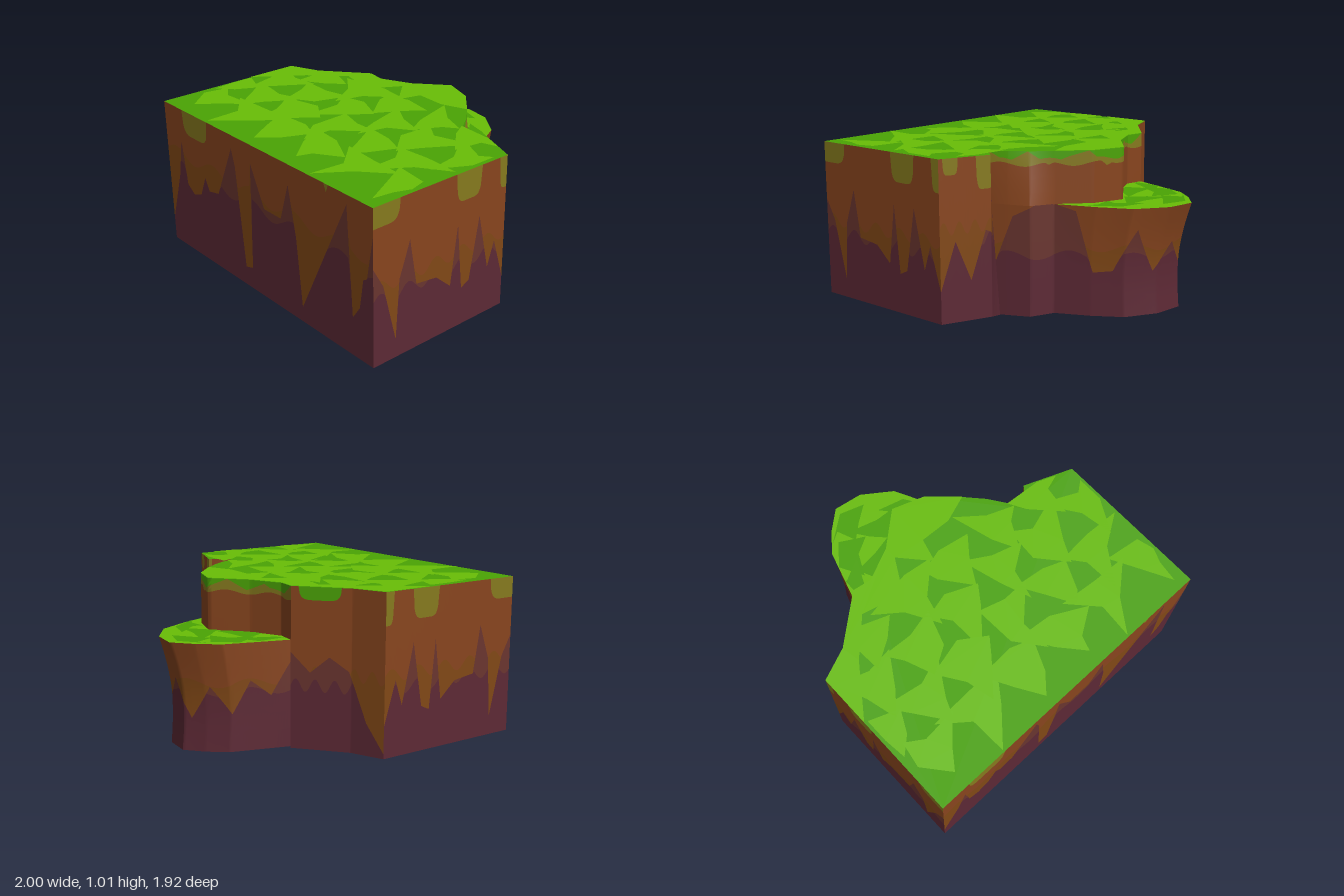
import * as THREE from 'three';
import { toCreasedNormals } from 'three/addons/utils/BufferGeometryUtils.js';

const paint = (name, color) => {
  const m = new THREE.MeshStandardMaterial({ color, side: THREE.DoubleSide });
  m.name = name;
  return m;
};

// Linear lookup in a list of [u, value] with rising u
function lookup(list, u) {
  for (let i = 1; i < list.length; i++) {
    const [u0, a] = list[i - 1], [u1, b] = list[i];
    if (u <= u1) return a + (b - a) * Math.max(0, (u - u0) / (u1 - u0));
  }
  return list[list.length - 1][1];
}

// Rounded grass drip hanging from the top edge: [centre, half width, depth]
function dripDepth(drips, u) {
  let d = 0;
  for (const [centre, half, depth] of drips) {
    const s = Math.abs(u - centre) / half;
    if (s < 1) d = Math.max(d, depth * Math.sqrt(1 - s ** 6));
  }
  return d;
}

// Evenly spaced strata heights alternating between valleys and peaks
const zigzag = heights => heights.map((h, i) => [i / (heights.length - 1), h]);
const raise = (points, y) => points.map(([x, z]) => [x, y, z]);

export function createModel() {
  const group = new THREE.Group();
  const plum = paint('deep plum rock', 0x5d2935);
  const russet = paint('russet rock', 0x6a352f);
  const amber = paint('amber earth', 0x814816);
  const brown = paint('brown earth', 0x88451e);
  const olive = paint('olive moss', 0x867a1e);
  const darkGrass = paint('dark grass', 0x4ba404);
  const lightGrass = paint('light grass', 0x69be06);
  const earth = [plum, russet, amber, brown, olive];

  // Rock wall between a bottom and a top path, split into coloured strata
  function wall(name, bottom, top, { spikes, drips = [], plateau = 0.5, pinch = 0, strata = earth }) {
    const us = [0];
    for (let i = 1; i < top.length; i++) {
      us.push(us[i - 1] + Math.hypot(top[i][0] - top[i - 1][0], top[i][2] - top[i - 1][2]));
    }
    const total = us[us.length - 1];
    const along = (path, u) => [0, 1, 2].map(k => lookup(path.map((p, i) => [us[i] / total, p[k]]), u));
    const marks = new Set([...us.map(u => u / total), ...spikes.map(s => s[0])]);
    for (let i = 0; i <= 100; i++) marks.add(i / 100);
    const columns = [...marks].sort((a, b) => a - b);

    const grid = columns.map(u => {
      const b = along(bottom, u), t = along(top, u);
      const spike = lookup(spikes, u);
      const flat = plateau + 0.04 * Math.sin(u * 31);
      const valley = Math.max(spike, flat + 0.08);
      const cuts = [0, Math.min(spike, flat), spike, valley, Math.max(1 - dripDepth(drips, u), valley), 1];
      const column = [];
      for (let l = 0; l < 5; l++) {
        for (let s = 0; s <= 3; s++) {
          const h = cuts[l] + (cuts[l + 1] - cuts[l]) * s / 3;
          const p = b.map((v, k) => v + (t[k] - v) * h);
          if (p[2] < -0.36) p[2] = -0.36 + (p[2] + 0.36) * (1 - pinch * Math.sin(Math.PI * h));
          column.push(new THREE.Vector3(...p));
        }
      }
      return column;
    });

    const geo = new THREE.BufferGeometry(), pos = [];
    const tri = (a, b, c) => {
      const n = b.clone().sub(a).cross(c.clone().sub(a));
      if (n.length() > 1e-9) pos.push(...a, ...b, ...c);
    };
    for (let l = 0; l < 5; l++) {
      const start = pos.length / 3;
      for (let i = 0; i + 1 < grid.length; i++) {
        for (let r = l * 4; r < l * 4 + 3; r++) {
          tri(grid[i][r], grid[i + 1][r], grid[i + 1][r + 1]);
          tri(grid[i][r], grid[i + 1][r + 1], grid[i][r + 1]);
        }
      }
      geo.addGroup(start, pos.length / 3 - start, l);
    }
    geo.setAttribute('position', new THREE.Float32BufferAttribute(pos, 3));
    const mesh = new THREE.Mesh(toCreasedNormals(geo, 1.1), strata);
    mesh.name = name;
    group.add(mesh);
  }

  // Flat grass sheet from x, z pairs
  function grass(name, points, y, material) {
    const shape = new THREE.Shape(points.map(([x, z]) => new THREE.Vector2(x, -z)));
    const mesh = new THREE.Mesh(new THREE.ShapeGeometry(shape).rotateX(-Math.PI / 2), material);
    mesh.position.y = y;
    mesh.name = name;
    group.add(mesh);
  }

  // Jagged patches on a staggered lattice, kept between a rear and a front edge
  let seed = 11;
  const random = () => (seed = (seed * 16807) % 2147483647) / 2147483647;
  function patches(name, [x0, x1, z0, z1], step, rear, fore, y, material) {
    for (let z = z0, row = 0; z <= z1; z += step * 0.75, row++) {
      for (let x = x0 + (row % 2) * step / 2; x <= x1; x += step) {
        if (z < rear(x) + 0.03 || z > fore(x) - 0.03) continue;
        const points = [];
        for (let k = 0; k < 6; k++) {
          const a = (k + random() * 0.7) / 6 * Math.PI * 2;
          const r = step * (k % 2 ? 0.2 + 0.25 * random() : 0.5 + 0.35 * random());
          const px = THREE.MathUtils.clamp(x + r * Math.cos(a), x0, x1);
          const pz = THREE.MathUtils.clamp(z - r * Math.sin(a), rear(px) + 0.01, fore(px) - 0.01);
          points.push([px, pz]);
        }
        grass(name, points, y, material);
      }
    }
  }

  // Front wall
  const front = [[-1, 0.96], [1, 0.96]];
  const frontSpikes = [[0, .16], [.06, .52], [.085, .78], [.105, .48], [.14, .43], [.18, .46], [.21, .6], [.23, .52], [.28, .54],
    [.365, .91], [.38, .8], [.41, .13], [.445, .15], [.46, .88], [.52, .62], [.6, .62], [.64, .87], [.67, .55],
    [.69, .1], [.895, .94], [.915, .25], [.945, .34], [.96, .53], [.975, .55], [1, .83]];
  wall('frontWall', raise(front, 0.03), raise(front, 1),
    { spikes: frontSpikes, drips: [[.17, .07, .16], [.81, .01, .05]], plateau: .6 });

  // Mirrored side walls
  const sideSpikes = [[0, .63], [.07, .5], [.16, .12], [.185, .5], [.22, .6], [.26, .72], [.31, .42], [.46, .4], [.57, .3],
    [.62, .68], [.66, .25], [.72, .28], [.79, .68], [.87, .31], [.92, .47], [1, .2]];
  const sideDrips = [[.05, .14, .13], [.7, .1, .18], [1, .06, .2]];
  const side = [[1, 0.96], [1, -0.04]];
  wall('leftWall', raise(side, 0.03), raise(side, 1), { spikes: sideSpikes, drips: sideDrips, plateau: .42 });
  const mirrored = side.map(([x, z]) => [-x, z]).reverse();
  wall('rightWall', raise(mirrored, 0.03), raise(mirrored, 1), {
    spikes: sideSpikes.map(([u, h]) => [1 - u, h]).reverse(),
    drips: sideDrips.map(([u, w, d]) => [1 - u, w, d]), plateau: .42 });

  // Rear walls beside the ledge, with a notch on the left
  wall('backLeftWall', [[1, .03, -.04], [.7, .03, -.16], [.58, 0, -.11]], raise([[1, -.04], [.7, -.16], [.6, -.04]], 1),
    { spikes: zigzag([.2, .5, .25, .55, .5, .65]), drips: [[.15, .1, .1], [.6, .12, .2]] });
  const backRight = [[-.52, -.35], [-.8, -.12], [-1, -.04]];
  wall('backRightWall', raise(backRight, 0.03), raise(backRight, 1), {
    spikes: zigzag([.6, .48, .58, .5, .2, .03]), plateau: .4, drips: [[.3, .22, .08]],
    strata: [plum, russet, amber, brown, darkGrass] });

  // Low ledge jutting out behind
  const lip = [[.593, -.063], [.56, -.16], [.51, -.29], [.37, -.36], [.28, -.6], [.18, -.8], [0, -.93],
    [-.18, -.96], [-.3, -.86], [-.4, -.74], [-.52, -.35]];
  const foot = lip.map(([x, z], i) => [x, 0.04 * i / 10, z < -.36 ? -.36 + (z + .36) * .88 : z]);
  wall('ledgeWall', foot, raise(lip, 0.685), {
    spikes: zigzag([.4, .9, 1, 1, .95, .4, .42, .8, .4, .65, .3, .6, .35, .65, .5, .8]),
    plateau: .55, pinch: .08 });

  // Cliff face rising from the ledge, mossy along its top
  const rim = [[.6, -.04], [.54, -.15], [.47, -.25], [.37, -.36], [.2, -.52], [0, -.59], [-.2, -.42], [-.4, -.33], [-.52, -.35]];
  const cliffFoot = rim.map((point, i) => (i < 3 ? lip[i] : point));
  wall('upperCliff', raise(cliffFoot, 0.68), raise(rim, 1), {
    spikes: zigzag([1, .8, 1, .75, .9, 1, .7, .85, 1, .8, .95, .75, 1]), plateau: .76,
    strata: [brown, olive, olive, darkGrass, darkGrass] });

  // Ledge grass with dark patches
  const byX = path => u => lookup([...path].reverse(), u);
  grass('ledgeGrass', [...lip, ...rim.slice(3, 8).reverse(), ...cliffFoot.slice(1, 3).reverse()], 0.685, lightGrass);
  patches('ledgeGrassPatch', [-.46, .3, -.86, -.36], 0.26, byX(lip), byX(rim), 0.689, darkGrass);

  // Meadow with light patches and a bright rear edge
  const rear = [[1, -.04], [.7, -.16], ...rim, [-.8, -.12], [-1, -.04]];
  grass('meadow', [...front, ...rear], 1, darkGrass);
  grass('meadowEdge', [...rim.slice(3), [-.8, -.12], [-1, -.04], [-1, .3], [-.78, 0], [-.58, -.2], [-.42, -.16],
    [-.36, -.06], [-.2, -.34], [-.04, -.16], [0, -.31], [.2, -.3]].reverse(), 1.003, lightGrass);
  patches('meadowPatch', [-.98, .98, -.08, .95], 0.34, byX(rear), () => 0.96, 1.006, lightGrass);

  return group;
}
